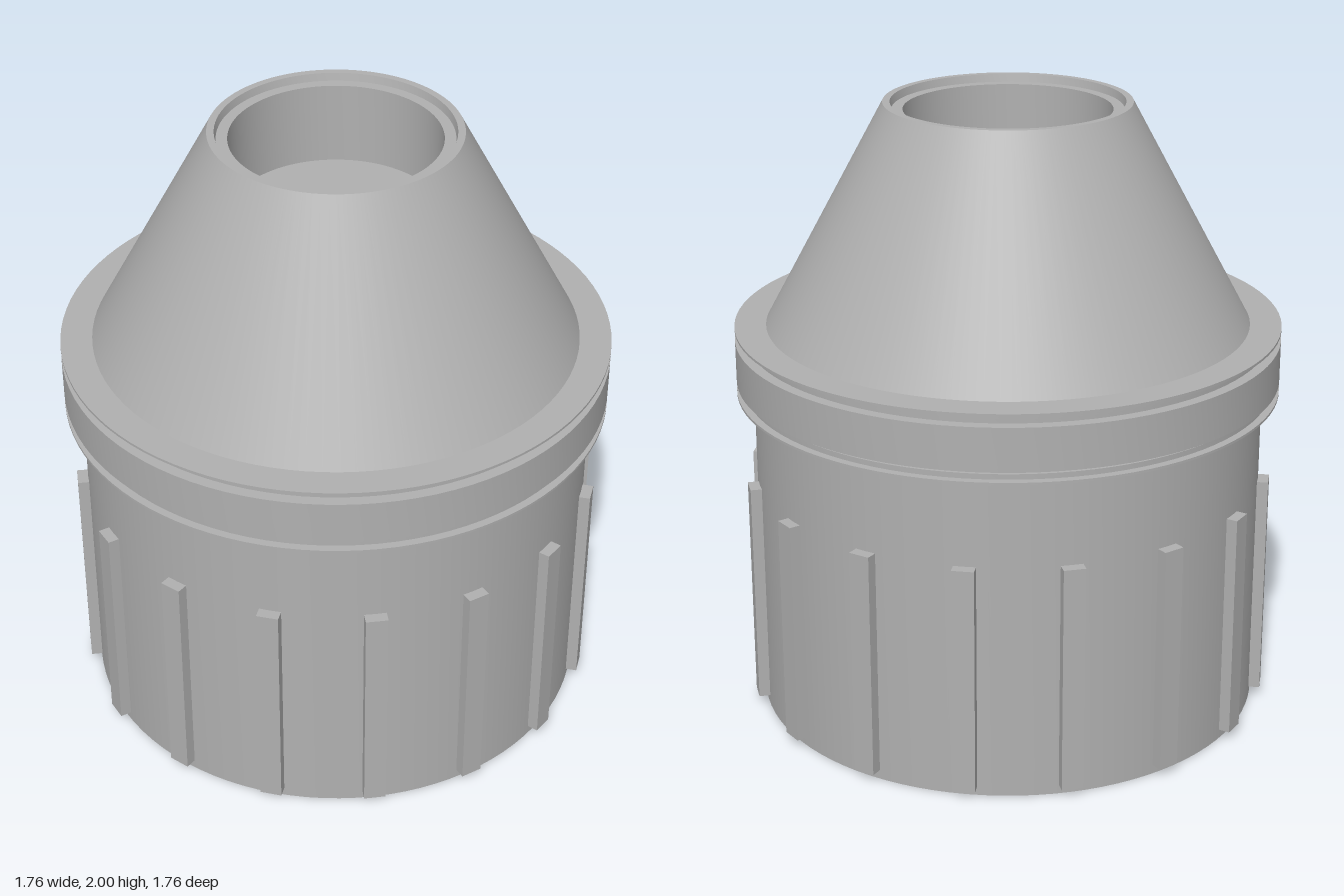
import * as THREE from 'three';
import { toCreasedNormals } from 'three/addons/utils/BufferGeometryUtils.js';

const SEGMENTS = 96;

export function createModel() {
  const model = new THREE.Group();
  model.name = 'conicalCap';
  const grey = new THREE.MeshStandardMaterial({ color: 0xb0b0b0 });
  grey.name = 'grey plastic';

  const add = (name, geometry, parent = model) => {
    const mesh = new THREE.Mesh(geometry, grey);
    mesh.name = name;
    parent.add(mesh);
    return mesh;
  };
  // Profile runs from the bottom outwards and up
  const turned = (points) => toCreasedNormals(
    new THREE.LatheGeometry(points.map(([r, y]) => new THREE.Vector2(r, y)), SEGMENTS), 0.4);

  // Round body with a slot rising from its underside
  const outline = new THREE.Shape().absarc(0, 0, 0.825, 0, Math.PI * 2, false);
  const slot = new THREE.Path();
  slot.moveTo(-0.4, -0.25);
  slot.lineTo(0.66, -0.25);
  slot.quadraticCurveTo(0.74, -0.25, 0.765, -0.15);
  slot.quadraticCurveTo(0.795, 0, 0.765, 0.15);
  slot.quadraticCurveTo(0.74, 0.25, 0.66, 0.25);
  slot.lineTo(-0.4, 0.25);
  slot.quadraticCurveTo(-0.48, 0.24, -0.52, 0.08);
  slot.quadraticCurveTo(-0.54, 0, -0.52, -0.08);
  slot.quadraticCurveTo(-0.48, -0.24, -0.4, -0.25);
  outline.holes.push(slot);
  const body = new THREE.ExtrudeGeometry(outline, {
    depth: 1.07, bevelEnabled: false, curveSegments: SEGMENTS / 2,
  });
  body.rotateX(-Math.PI / 2);
  add('body', toCreasedNormals(body, 0.4));

  // Collar: a broad band between two thin flanges, with stepped grooves
  add('collar', turned([
    [0, 1.065], [0.88, 1.065], [0.88, 1.073], [0.855, 1.073], [0.855, 1.09],
    [0.845, 1.09], [0.845, 1.105], [0.88, 1.105], [0.88, 1.245],
    [0.845, 1.245], [0.845, 1.262], [0.855, 1.262], [0.855, 1.279],
    [0.88, 1.279], [0.88, 1.287], [0.7, 1.287],
  ]));

  // Conical nozzle with a stepped rim and a blind bore
  add('nozzle', turned([
    [0.78, 1.285], [0.393, 2], [0.37, 2], [0.365, 1.975],
    [0.33, 1.975], [0.33, 1.71], [0, 1.71],
  ]));

  // Grip ribs around the body
  const ribs = new THREE.Group();
  ribs.name = 'gripRibs';
  model.add(ribs);
  const ribGeometry = new THREE.BoxGeometry(0.07, 0.745, 0.08);
  for (let i = 0; i < 16; i++) {
    const angle = (i / 16) * Math.PI * 2;
    const rib = add('gripRib', ribGeometry, ribs);
    rib.position.set(Math.sin(angle) * 0.82, 0.4025, Math.cos(angle) * 0.82);
    rib.rotation.y = angle;
  }
  return model;
}
